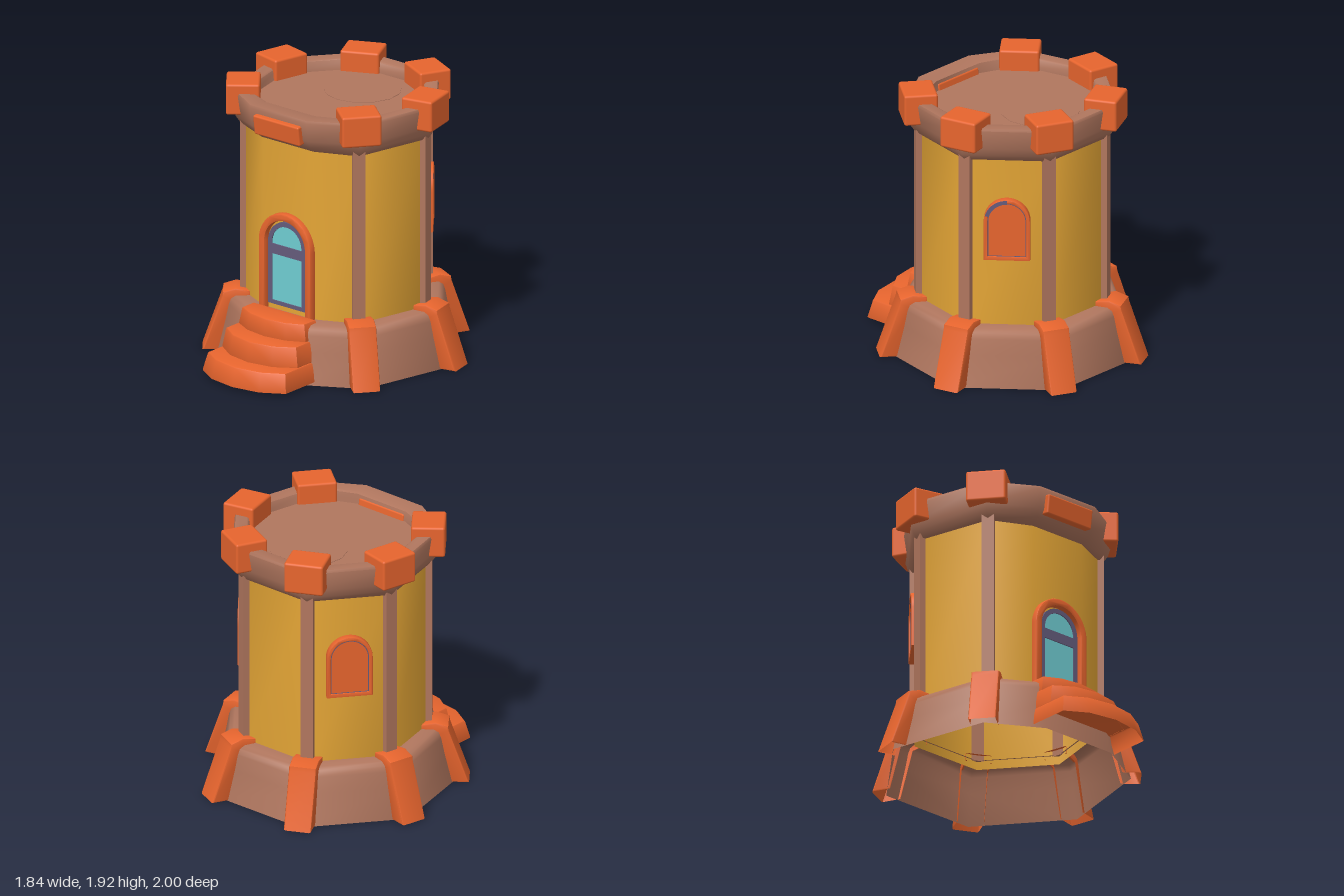
import * as THREE from 'three';
import { toCreasedNormals } from 'three/addons/utils/BufferGeometryUtils.js';
import { RoundedBoxGeometry } from 'three/addons/geometries/RoundedBoxGeometry.js';

const STEP = Math.PI * 2 / 7;

function material(name, color, side = THREE.FrontSide) {
  const m = new THREE.MeshStandardMaterial({ color, side });
  m.name = name;
  return m;
}

const points = list => list.map(p => new THREE.Vector2(...p));

// Heptagon with corner radius r whose front corner is cut flat at z = front
function outline(r, front) {
  const x = r * 0.34;
  const pts = [[x, front]];
  for (let k = 1; k < 7; k++) pts.push([r * Math.sin(k * STEP), r * Math.cos(k * STEP)]);
  pts.push([-x, front]);
  return pts;
}

// Lofts a [radius, y, front] profile around the tower outline
function ringLoft(profile, crease = 1.0) {
  const pos = [], idx = [], n = 8;
  for (const [r, y, front = r * 0.876] of profile) {
    for (const [x, z] of outline(r, front)) pos.push(x, y, z);
  }
  for (let j = 0; j < profile.length - 1; j++) {
    for (let i = 0; i < n; i++) {
      const a = j * n + i, b = j * n + (i + 1) % n;
      idx.push(a, b, b + n, a, b + n, a + n);
    }
  }
  const g = new THREE.BufferGeometry();
  g.setAttribute('position', new THREE.Float32BufferAttribute(pos, 3));
  g.setIndex(idx);
  return toCreasedNormals(g, crease);
}

// Round-topped outline: half width w, from y0 up to a semicircle centred at yc
function arch(w, y0, yc, Type = THREE.Shape) {
  const s = new Type();
  s.moveTo(-w, y0);
  s.lineTo(w, y0);
  s.lineTo(w, yc);
  s.absarc(0, yc, w, 0, Math.PI, false);
  s.lineTo(-w, y0);
  return s;
}

function archRing(w, inner, y0, innerY0, yc) {
  const s = arch(w, y0, yc);
  s.holes.push(arch(inner, innerY0, yc, THREE.Path));
  return s;
}

// Arched band open at the bottom
function archBand(w, inner, y0, yc) {
  const s = new THREE.Shape();
  s.moveTo(inner, y0);
  s.lineTo(w, y0);
  s.lineTo(w, yc);
  s.absarc(0, yc, w, 0, Math.PI, false);
  s.lineTo(-w, y0);
  s.lineTo(-inner, y0);
  s.lineTo(-inner, yc);
  s.absarc(0, yc, inner, Math.PI, 0, true);
  s.lineTo(inner, y0);
  return s;
}

function extrude(shape, depth, z, bevel = 0) {
  const g = new THREE.ExtrudeGeometry(shape, {
    depth: depth - 2 * bevel, curveSegments: 14, bevelEnabled: bevel > 0,
    bevelSize: bevel, bevelThickness: bevel, bevelOffset: -bevel, bevelSegments: 2,
  });
  g.translate(0, 0, z + bevel);
  return toCreasedNormals(g, 0.7);
}

// Removes the hidden underside and back faces, leaving an open shell
function openShell(geometry) {
  const p = geometry.attributes.position, nor = geometry.attributes.normal;
  const pos = [], out = [];
  const tri = new THREE.Triangle(), n = new THREE.Vector3();
  for (let i = 0; i < p.count; i += 3) {
    tri.setFromAttributeAndIndices(p, i, i + 1, i + 2);
    tri.getNormal(n);
    if (n.y < -0.9 || n.z < -0.6) continue;
    for (let k = i; k < i + 3; k++) {
      pos.push(p.getX(k), p.getY(k), p.getZ(k));
      out.push(nor.getX(k), nor.getY(k), nor.getZ(k));
    }
  }
  const g = new THREE.BufferGeometry();
  g.setAttribute('position', new THREE.Float32BufferAttribute(pos, 3));
  g.setAttribute('normal', new THREE.Float32BufferAttribute(out, 3));
  return g;
}

export function createModel() {
  const stone = material('brownStone', 0xb0765e, THREE.DoubleSide);
  const plaster = material('goldPlaster', 0xe5a636, THREE.DoubleSide);
  const orange = material('orangeTrim', 0xe8652e, THREE.DoubleSide);
  const purple = material('purpleFrame', 0x655c7c);
  const glass = material('tealGlass', 0x70cdd2);

  const model = new THREE.Group();
  model.name = 'tower';
  const body = new THREE.Group();
  body.name = 'towerBody';
  body.position.z = -0.127;
  model.add(body);

  function add(name, geometry, mat, parent = body) {
    const m = new THREE.Mesh(geometry, mat);
    m.name = name;
    parent.add(m);
    return m;
  }

  // Main masses: flared hollow base, walls, and parapet with sunken roof floor
  add('base', ringLoft([[0.857, 0], [0.805, 0.22], [0.783, 0.33], [0.768, 0.37], [0.735, 0.392], [0.64, 0.395, 0.53]]), stone);
  add('wall', ringLoft([[0.65, 0.33, 0.537], [0.65, 1.62, 0.537]]), plaster);
  add('parapet', ringLoft([
    [0.64, 1.6, 0.53], [0.67, 1.603, 0.545], [0.7, 1.645, 0.59], [0.718, 1.7, 0.625], [0.738, 1.835, 0.647],
    [0.73, 1.853, 0.64], [0.645, 1.853, 0.53], [0.63, 1.845, 0.512], [0.62, 1.775, 0.505], [0.002, 1.775],
  ]), stone);
  const hatch = add('roofHatch', new THREE.CylinderGeometry(0.265, 0.265, 0.016, 13), stone);
  hatch.position.set(0, 1.77, -0.243);

  // Buttress side profile in [radius, y]
  const buttressShape = new THREE.Shape(points([
    [0.6, 0.37], [0.6, 0.425], [0.7, 0.442], [0.785, 0.415], [0.79, 0.385], [0.925, 0], [0.79, 0], [0.7, 0.34],
  ]));
  const buttressSolid = extrude(buttressShape, 0.19, -0.095, 0.012);
  buttressSolid.rotateY(-Math.PI / 2);
  const buttressGeo = openShell(buttressSolid);

  const pilasterGeo = new THREE.BoxGeometry(0.085, 1.25, 0.043);
  pilasterGeo.translate(0, 1.015, 0.6505);
  const merlonGeo = new RoundedBoxGeometry(0.272, 0.22, 0.23, 2, 0.016);
  merlonGeo.translate(0, 1.81, 0.65);

  // Six corners; the front one is left free for the door
  for (let k = 1; k < 7; k++) {
    const corner = new THREE.Group();
    corner.name = 'corner' + k;
    corner.rotation.y = k * STEP;
    body.add(corner);
    add('buttress', buttressGeo, orange, corner);
    add('pilaster', pilasterGeo, stone, corner);
    add('merlon', merlonGeo, orange, corner);
  }

  // Plaque set through the front of the parapet
  const plaque = add('frontPlaque', new RoundedBoxGeometry(0.4, 0.14, 0.175, 2, 0.012), orange);
  plaque.position.set(0, 1.742, 0.581);
  plaque.rotation.x = 0.13;

  // Arched windows on the two rear side walls
  for (const side of [1, -1]) {
    const win = new THREE.Group();
    win.name = side > 0 ? 'leftWindow' : 'rightWindow';
    win.rotation.y = side * 2.5 * STEP;
    body.add(win);
    add('windowFrame', extrude(archRing(0.157, 0.131, 0.88, 0.908, 1.165), 0.065, 0.57, 0.005), orange, win);
    add('windowInnerFrame', extrude(archRing(0.133, 0.125, 0.905, 0.912, 1.165), 0.05, 0.577), purple, win);
    add('windowShutter', extrude(arch(0.127, 0.91, 1.165), 0.053, 0.572), orange, win);
    if (side > 0) {
      // Exposed purple section of the arch
      add('windowArchInset', new THREE.RingGeometry(0.126, 0.154, 12, 1, Math.PI * 0.5, Math.PI * 0.42), purple, win)
        .position.set(0, 1.165, 0.637);
    }
  }

  // Door: orange surround, purple frame and two glass panes
  const door = new THREE.Group();
  door.name = 'door';
  model.add(door);
  add('doorSurround', extrude(archBand(0.229, 0.177, 0.39, 0.877), 0.06, 0.395, 0.01), orange, door);
  const frame = arch(0.163, 0.435, 0.877);
  frame.holes.push(
    new THREE.Path(points([[-0.13, 0.462], [0.13, 0.462], [0.13, 0.795], [-0.13, 0.795]])),
    arch(0.13, 0.866, 0.877, THREE.Path),
  );
  add('doorFrame', extrude(frame, 0.03, 0.4), purple, door);
  add('lowerDoorPane', new THREE.BoxGeometry(0.262, 0.335, 0.009), glass, door).position.set(0, 0.6285, 0.418);
  add('upperDoorPane', extrude(arch(0.131, 0.865, 0.877), 0.009, 0.4135), glass, door);

  // Three steps with bowed fronts, each narrowing toward its top
  const steps = [
    { y: 0.02, h: 0.135, w: 0.368, back: 0.565, side: 0.875, mid: 0.97, front: 1.005 },
    { y: 0.15, h: 0.145, w: 0.333, back: 0.55, side: 0.71, mid: 0.805, front: 0.84 },
    { y: 0.29, h: 0.125, w: 0.295, back: 0.45, side: 0.58, mid: 0.645, front: 0.67 },
  ];
  const stairs = new THREE.Group();
  stairs.name = 'stairs';
  model.add(stairs);
  for (const s of steps) {
    const shape = new THREE.Shape(points([
      [-s.w, -s.back], [-s.w, -s.side], [-s.w * 0.57, -s.mid], [0, -s.front],
      [s.w * 0.57, -s.mid], [s.w, -s.side], [s.w, -s.back],
    ]));
    const g = new THREE.ExtrudeGeometry(shape, {
      depth: s.h - 0.02, bevelSize: 0.01, bevelThickness: 0.01, bevelOffset: -0.01, bevelSegments: 2,
    });
    g.translate(0, 0, 0.01);
    g.rotateX(-Math.PI / 2);
    const p = g.attributes.position;
    for (let i = 0; i < p.count; i++) {
      const t = p.getY(i) / s.h;
      p.setX(i, p.getX(i) * (1 - 0.08 * t));
      p.setZ(i, s.back + (p.getZ(i) - s.back) * (1 - 0.09 * t));
    }
    add('step', openShell(toCreasedNormals(g, 0.6)), orange, stairs).position.y = s.y;
  }

  return model;
}
